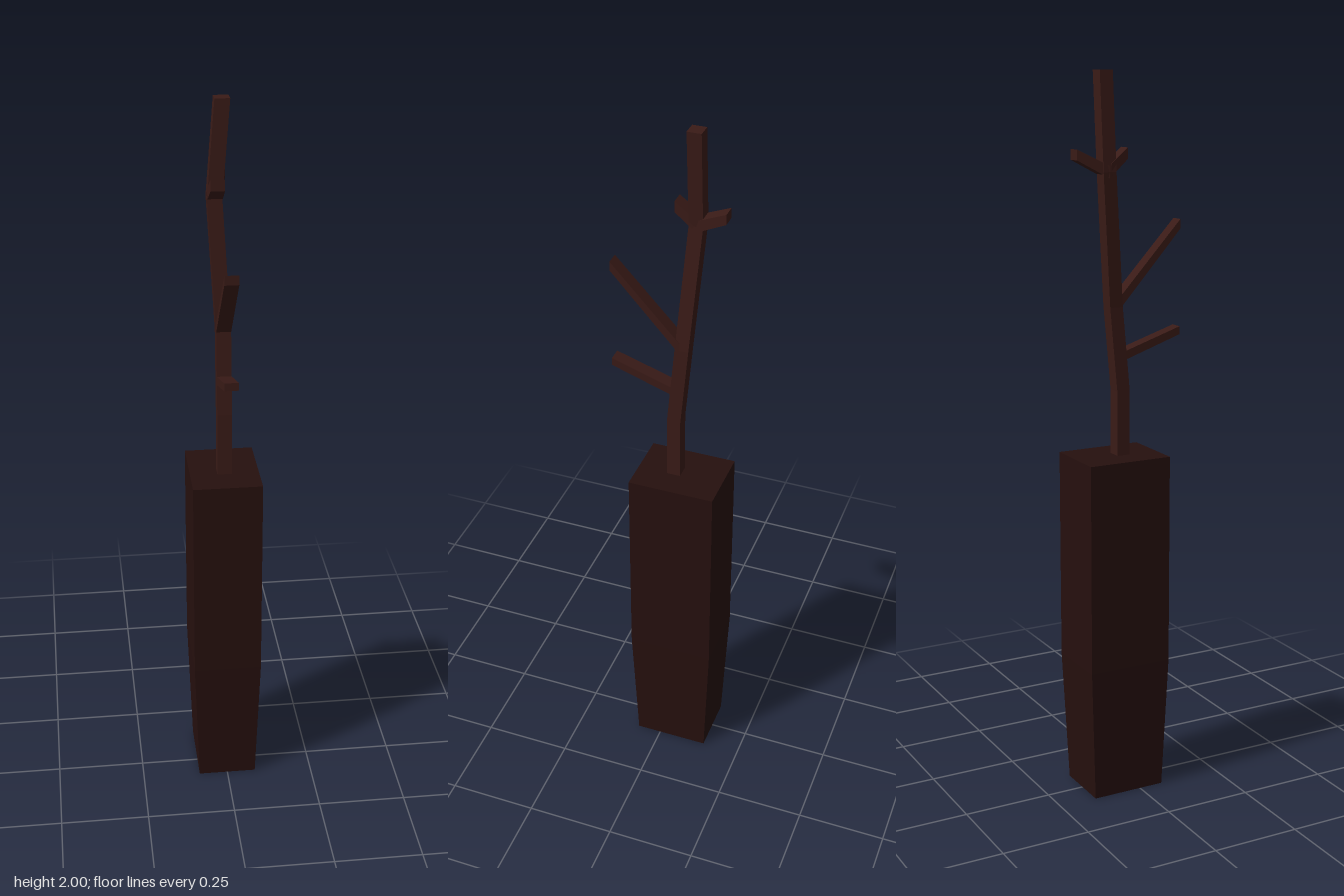
import * as THREE from 'three';

const blockMaterial = new THREE.MeshStandardMaterial({ color: 0x26100e, flatShading: true });
const barkMaterial = new THREE.MeshStandardMaterial({ color: 0x3a1b17, flatShading: true });

// Closed four-sided solid through a list of rings, each counter-clockwise seen from the far end
function loft(name, rings, material) {
  const positions = [];
  const quad = (a, b, c, d) => [a, b, c, a, c, d].forEach((p) => positions.push(...p));
  for (let r = 0; r < rings.length - 1; r++) {
    for (let i = 0; i < 4; i++) {
      const j = (i + 1) % 4;
      quad(rings[r][i], rings[r][j], rings[r + 1][j], rings[r + 1][i]);
    }
  }
  quad(...[...rings[0]].reverse());
  quad(...rings[rings.length - 1]);
  const geometry = new THREE.BufferGeometry();
  geometry.setAttribute('position', new THREE.Float32BufferAttribute(positions, 3));
  geometry.computeVertexNormals();
  const mesh = new THREE.Mesh(geometry, material);
  mesh.name = name;
  return mesh;
}

// Horizontal rectangle with half sizes hx and hz
const levelRing = ([x, y, z], hx, hz) =>
  [[-1, 1], [1, 1], [1, -1], [-1, -1]].map(([sx, sz]) => [x + sx * hx, y, z + sz * hz]);

// Upright rectangle facing +z (dir 1) or -z (dir -1)
const uprightRing = ([x, y, z], hx, hy, dir) =>
  [[-1, -1], [1, -1], [1, 1], [-1, 1]].map(([sx, sy]) => [x + sx * hx * dir, y + sy * hy, z]);

export function createModel() {
  const group = new THREE.Group();
  group.name = 'twiggedPost';

  // Block, narrowing towards the foot
  group.add(loft('block', [
    levelRing([0, 0, -0.036], 0.083, 0.106),
    levelRing([0, 0.38, -0.037], 0.096, 0.121),
    levelRing([0, 0.97, -0.037], 0.096, 0.121),
  ], blockMaterial));

  // Crooked stem
  const stemPath = [
    [0, 0.96, -0.019], [0, 1.15, -0.019], [0, 1.38, -0.04], [-0.02, 1.74, -0.069], [0, 2, -0.069],
  ];
  group.add(loft('stem', stemPath.map((p) => levelRing(p, 0.02, 0.019)), barkMaterial));

  // Side branches: name, start, end, half height at start and end
  const branches = [
    ['lowerBranch', [0, 1.245, -0.02], [0, 1.303, 0.156], 0.012, 0.011],
    ['upperBranch', [0, 1.385, -0.035], [0, 1.594, 0.156], 0.016, 0.013],
    ['frontTwig', [-0.02, 1.745, -0.065], [-0.016, 1.787, -0.014], 0.017, 0.015],
    ['backTwig', [-0.02, 1.74, -0.07], [0, 1.785, -0.154], 0.016, 0.014],
  ];
  for (const [name, start, end, h0, h1] of branches) {
    const dir = Math.sign(end[2] - start[2]);
    group.add(loft(name, [
      uprightRing(start, 0.02, h0, dir),
      uprightRing(end, 0.019, h1, dir),
    ], barkMaterial));
  }
  return group;
}
